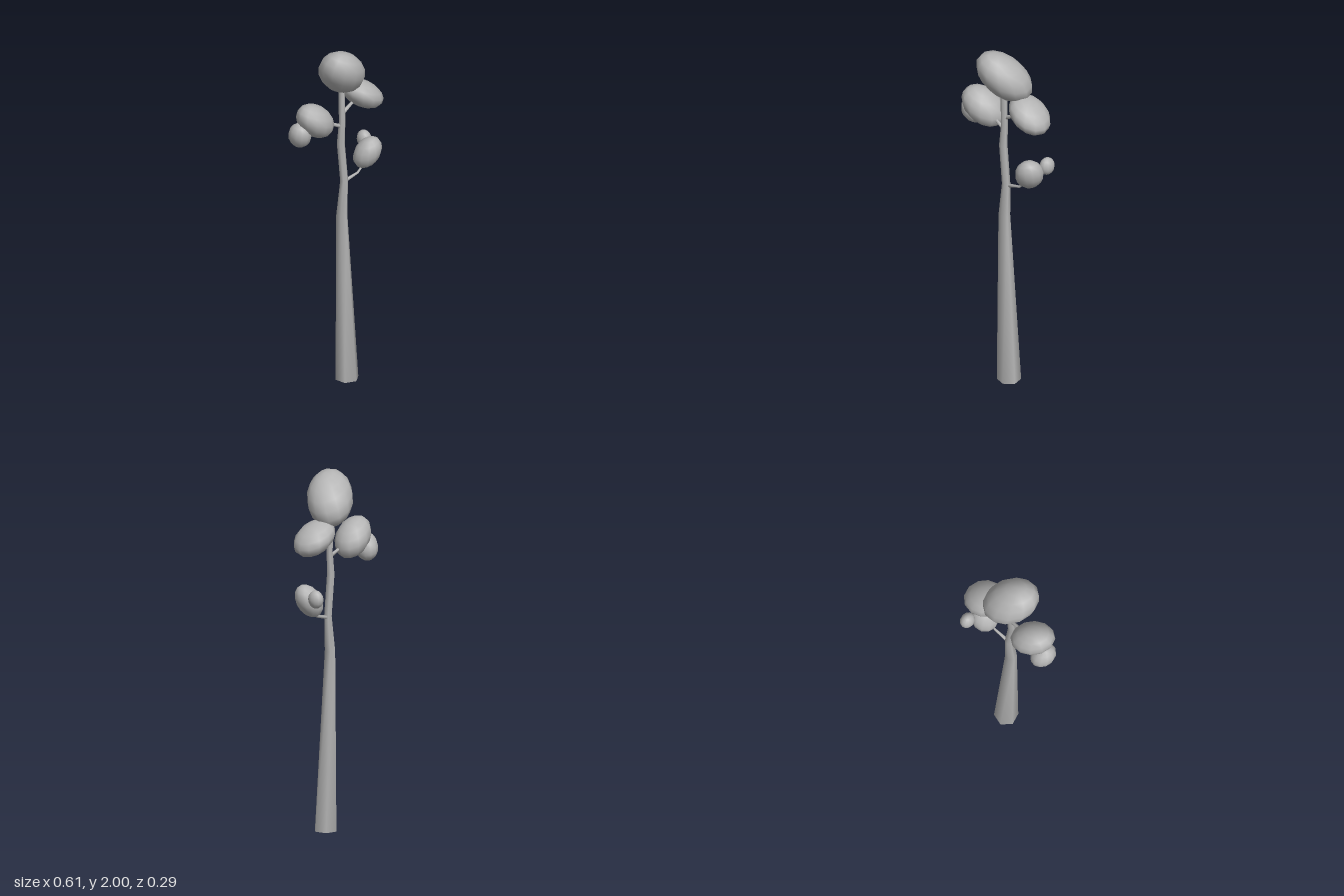
import * as THREE from 'three';
import { mergeVertices } from 'three/addons/utils/BufferGeometryUtils.js';

// Closed limb skinned over rings of [x, y, z, radius]; ring planes face the limb's overall direction.
function limb(rings, sides) {
  const point = r => new THREE.Vector3(r[0], r[1], r[2]);
  const dir = point(rings[rings.length - 1]).sub(point(rings[0])).normalize();
  const upright = dir.y > 0.95;
  const turn = new THREE.Quaternion();
  if (!upright) turn.setFromUnitVectors(new THREE.Vector3(0, 1, 0), dir);
  const pos = [], index = [];
  for (const r of rings) {
    for (let i = 0; i < sides; i++) {
      const a = (i / sides) * Math.PI * 2 + Math.PI / 12;
      const p = new THREE.Vector3(Math.sin(a) * r[3], 0, Math.cos(a) * r[3]);
      p.applyQuaternion(turn).add(point(r));
      pos.push(p.x, p.y, p.z);
    }
  }
  for (let k = 0; k < rings.length - 1; k++) {
    for (let i = 0; i < sides; i++) {
      const j = (i + 1) % sides;
      const a = k * sides + i, b = k * sides + j, c = a + sides, d = b + sides;
      index.push(a, b, d, a, d, c);
    }
  }
  // End caps share the side vertices so the shading rolls over the rims
  const last = (rings.length - 1) * sides;
  for (let i = 1; i < sides - 1; i++) {
    index.push(0, i + 1, i, last, last + i, last + i + 1);
  }
  const geo = new THREE.BufferGeometry();
  geo.setAttribute('position', new THREE.Float32BufferAttribute(pos, 3));
  geo.setIndex(index);
  geo.computeVertexNormals();
  return geo;
}

// Leaning ellipsoid: half extents per axis, and lean = correlations [xy, yz, xz].
function blob([hx, hy, hz], [xy, yz, xz]) {
  let geo = new THREE.SphereGeometry(1, 12, 8);
  geo.deleteAttribute('uv');
  geo.deleteAttribute('normal');
  geo = mergeVertices(geo, 1e-4);
  const b = Math.sqrt(1 - xy * xy);
  const c = (yz - xy * xz) / b;
  const d = Math.sqrt(1 - xz * xz - c * c);
  geo.applyMatrix4(new THREE.Matrix4().set(
    hx, 0, 0, 0,
    hy * xy, hy * b, 0, 0,
    hz * xz, hz * c, hz * d, 0,
    0, 0, 0, 1));
  geo.computeVertexNormals();
  return geo;
}

export function createModel() {
  const group = new THREE.Group();
  group.name = 'tree';
  const grey = new THREE.MeshStandardMaterial({ color: 0xb4b4b4 });
  grey.name = 'plain grey';

  const add = (name, geo, at = [0, 0, 0]) => {
    const mesh = new THREE.Mesh(geo, grey);
    mesh.name = name;
    mesh.position.set(...at);
    group.add(mesh);
  };

  // Tapered, gently swaying trunk
  add('trunk', limb([
    [0.055, 0, 0.004, 0.066],
    [0.02, 1.0, 0.005, 0.032],
    [0.035, 1.2, 0.006, 0.023],
    [0.013, 1.43, 0.006, 0.023],
    [0.022, 1.56, 0.006, 0.019],
    [0.016, 1.8, 0.006, 0.018],
  ], 6));

  // Thin branches reaching into the foliage
  add('lowerBranch', limb([
    [0.035, 1.19, 0.004, 0.012], [0.13, 1.215, -0.002, 0.007], [0.19, 1.27, -0.006, 0.006]], 5));
  add('leftBranch', limb([
    [0.02, 1.53, 0.005, 0.012], [-0.05, 1.56, 0, 0.009], [-0.12, 1.6, 0, 0.007]], 5));
  add('rightBranch', limb([
    [0.02, 1.6, 0.004, 0.013], [0.09, 1.637, -0.01, 0.01], [0.15, 1.67, -0.02, 0.008]], 5));

  // Foliage clumps: name, centre, half extents, lean
  const clumps = [
    ['crownFoliage', [0.02, 1.857, 0.005], [0.143, 0.143, 0.141], [-0.38, 0.35, -0.2]],
    ['rightFoliage', [0.18, 1.67, -0.03], [0.12, 0.094, 0.11], [-0.5, 0, 0]],
    ['leftFoliage', [-0.15, 1.607, -0.005], [0.118, 0.107, 0.106], [-0.42, 0.1, -0.18]],
    ['leftSmallFoliage', [-0.24, 1.54, -0.02], [0.065, 0.076, 0.072], [-0.15, 0.2, -0.1]],
    ['lowerFoliage', [0.2, 1.317, -0.008], [0.08, 0.091, 0.079], [0.25, 0.2, 0]],
    ['lowerSmallFoliage', [0.243, 1.35, -0.1], [0.038, 0.05, 0.046], [0, 0, 0]],
  ];
  for (const [name, at, half, lean] of clumps) add(name, blob(half, lean), at);

  return group;
}
